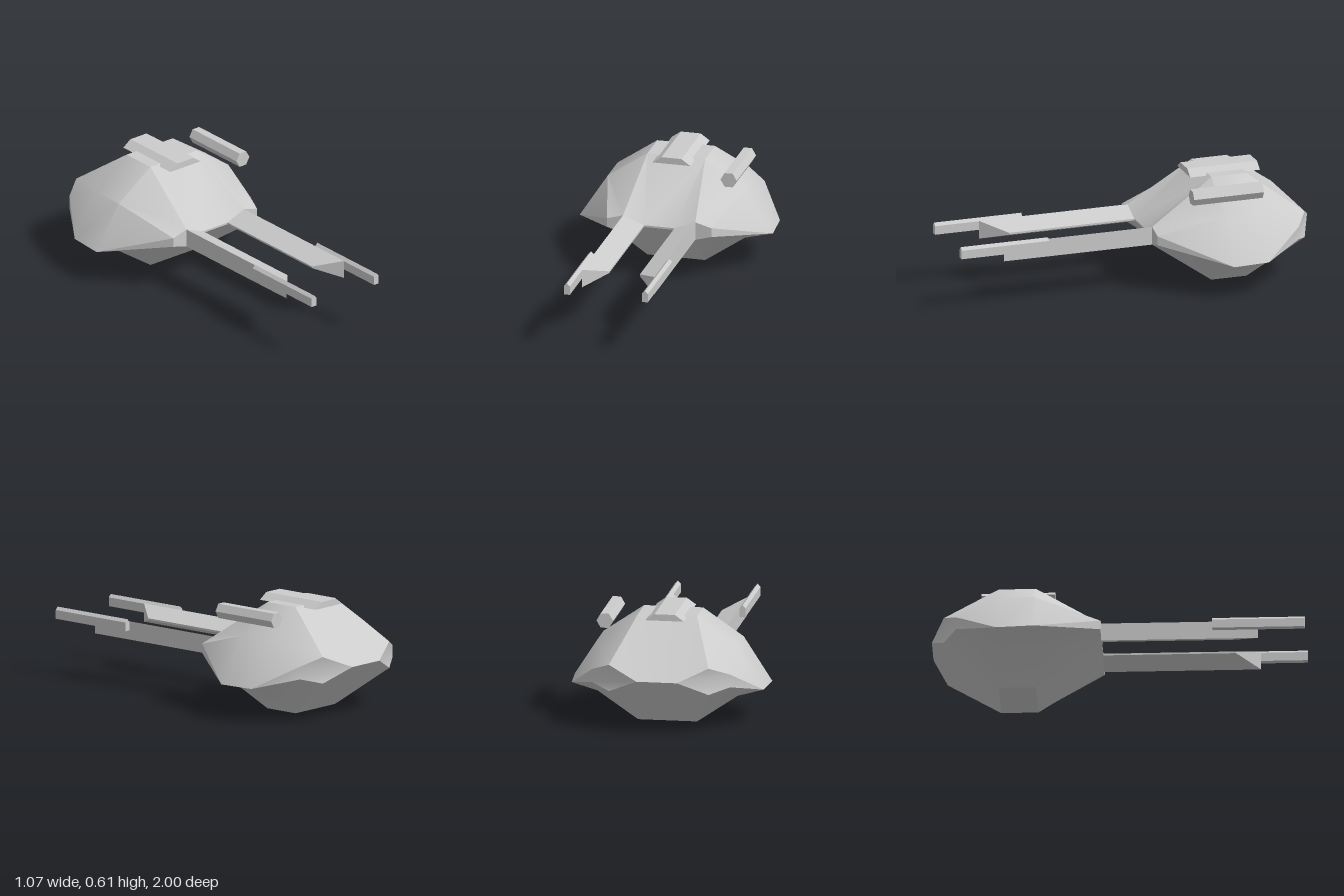
import * as THREE from 'three';
import { toCreasedNormals } from 'three/addons/utils/BufferGeometryUtils.js';

const material = new THREE.MeshStandardMaterial({ color: 0xcccccc });

function makeMesh(name, geometry) {
  const mesh = new THREE.Mesh(geometry, material);
  mesh.name = name;
  return mesh;
}

// Collects triangles, skipping those that collapse to a line
function fromTriangles(triangles, crease) {
  const same = (a, b) => a.every((v, k) => Math.abs(v - b[k]) < 1e-6);
  const solid = triangles.filter(([a, b, c]) => !same(a, b) && !same(b, c) && !same(a, c));
  const geometry = new THREE.BufferGeometry();
  geometry.setAttribute('position', new THREE.Float32BufferAttribute(solid.flat(2), 3));
  return toCreasedNormals(geometry, crease);
}

// Skins two rings (clockwise seen from the front), a in front of b.
// slant(i) chooses which diagonal splits quad i.
function skin(a, b, slant) {
  const out = [];
  a.forEach((_, i) => {
    const j = (i + 1) % a.length;
    if (slant(i)) out.push([a[i], a[j], b[i]], [a[j], b[j], b[i]]);
    else out.push([a[i], a[j], b[j]], [a[i], b[j], b[i]]);
  });
  return out;
}

function fan(ring, facesFront) {
  const out = [];
  for (let i = 1; i < ring.length - 1; i++) {
    out.push(facesFront ? [ring[0], ring[i + 1], ring[i]] : [ring[0], ring[i], ring[i + 1]]);
  }
  return out;
}

// Mirrors a half section into a closed ring
function fullRing(half) {
  return [...half, ...half.map(([x, y, z]) => [-x, y, z]).reverse()];
}

function hull() {
  // Half sections run from upper centre, round the rim, to lower centre
  const front = fullRing([
    [0.085, 0.305], [0.2, 0.35], [0.29, 0.325], [0.29, 0.275], [0.2, 0.25], [0.085, 0.295],
  ].map(([x, y]) => [x, y, -0.09]));
  const middle = (rimX, z) => fullRing([
    [0.16, 0.58], [0.38, 0.43], [rimX, 0.19], [rimX, 0.19], [0.38, 0.15], [0.16, 0],
  ].map(([x, y]) => [x, y, z]));
  const midFront = middle(0.535, -0.44);
  const midRear = middle(0.52, -0.64);
  const rear = fullRing([
    [0.11, 0.295, -1], [0.27, 0.365, -0.93], [0.375, 0.32, -0.86],
    [0.375, 0.25, -0.86], [0.27, 0.22, -0.93], [0.11, 0.295, -1],
  ]);
  // Each notched end is closed by two side panels and a centre strip
  const cap = (r, facesFront) => [
    ...fan(r.slice(0, 6), facesFront),
    ...fan(r.slice(6), facesFront),
    ...fan([r[0], r[5], r[6], r[11]], facesFront),
  ];
  return fromTriangles([
    ...cap(front, true),
    ...skin(front, midFront, i => i % 6 < 3),
    ...skin(midFront, midRear, () => true),
    ...skin(midRear, rear, i => i % 6 >= 3),
    ...cap(rear, false),
  ], 0.55);
}

// Wedge-section arm with a slanted front end
function arm(side) {
  const section = [[0.085, 0.305, 0.62], [0.2, 0.35, 0.75], [0.2, 0.25, 0.75], [0.085, 0.295, 0.62]];
  if (side < 0) section.reverse();
  const front = section.map(([x, y, z]) => [side * x, y, z]);
  const back = section.map(([x, y]) => [side * x, y, -0.09]);
  return fromTriangles([
    ...fan(front, true), ...skin(front, back, () => true), ...fan(back, false),
  ], 0.3);
}

// Prism running along z with a given outline
function prism(outline, z0, z1) {
  const shape = new THREE.Shape(outline.map(([x, y]) => new THREE.Vector2(x, y)));
  const geometry = new THREE.ExtrudeGeometry(shape, { depth: z1 - z0, bevelEnabled: false });
  return geometry.translate(0, 0, z0);
}

export function createModel() {
  const model = new THREE.Group();
  model.name = 'turret';
  model.add(makeMesh('turretHull', hull()));

  // Roof hatch
  model.add(makeMesh('roofHatch', prism(
    [[-0.105, 0.57], [0.105, 0.57], [0.055, 0.605], [-0.055, 0.605]], -0.735, -0.34)));

  // Twin gun arms with barrel tips on their outer sides
  for (const [side, label] of [[1, 'left'], [-1, 'right']]) {
    model.add(makeMesh(label + 'GunArm', arm(side)));
    const outline = [[0.2, 0.3], [0.232, 0.3], [0.232, 0.348], [0.216, 0.364], [0.2, 0.348]];
    model.add(makeMesh(label + 'BarrelTip', prism(
      outline.map(([x, y]) => [side * x, y]), 0.505, 1)));
  }

  // Hexagonal tube beside the roof
  const tube = new THREE.CylinderGeometry(0.045, 0.045, 0.395, 6)
    .rotateY(Math.PI / 6).rotateX(Math.PI / 2);
  const sideTube = makeMesh('sideTube', toCreasedNormals(tube, 0.5));
  sideTube.position.set(0.337, 0.54, -0.463);
  model.add(sideTube);

  return model;
}
